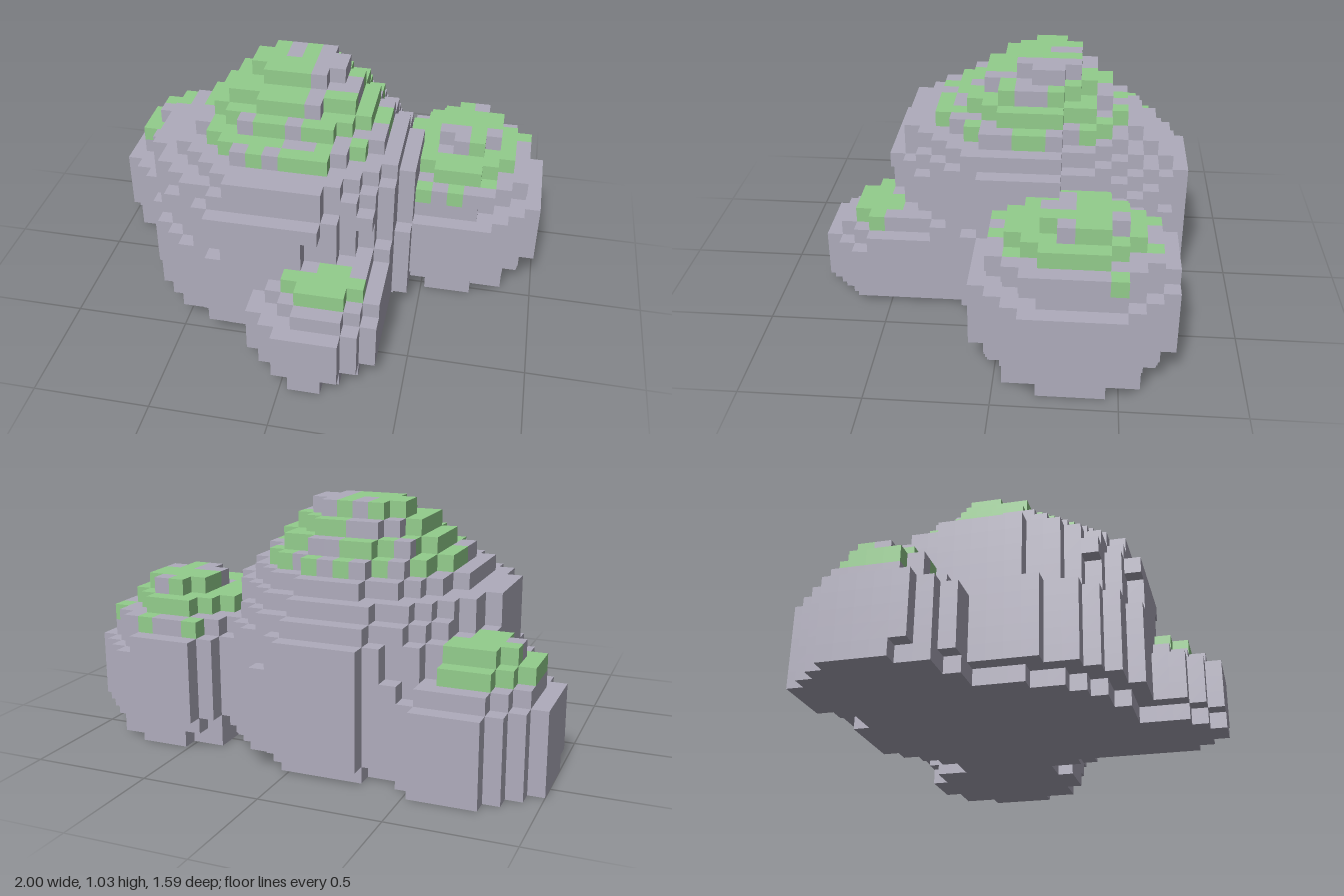
import * as THREE from 'three';
import { mergeGeometries } from 'three/addons/utils/BufferGeometryUtils.js';

const S = 2 / 29; // voxel size

const rockMat = new THREE.MeshStandardMaterial({ color: 0xafacbc });
rockMat.name = 'rock grey';
const mossMat = new THREE.MeshStandardMaterial({ color: 0x93cd8c });
mossMat.name = 'moss green';

// Each boulder is a stack of rounded layers, in voxels:
// [number of layers, x min, x max, z min, z max].
// back and front are the outline exponents of the two halves. The lowest layer
// and those from shoulder up to mossFrom are rounder. edgeMoss is the cover of
// the first mossy layer.
const mainBoulder = {
  name: 'mainBoulder', back: 2, front: 2.4, shoulder: 6, mossFrom: 11, edgeMoss: 0.62,
  layers: [
    [1, -9.5, 5.5, -10.5, 6.5], [7, -10.5, 6.5, -11.5, 7.5],
    [1, -10.5, 6.5, -10.5, 7.5], [1, -10.5, 6.5, -9.5, 6.5],
    [1, -8.5, 5.5, -8.5, 6.5], [1, -7.5, 4.5, -7.5, 4.5],
    [1, -6.5, 3.5, -6.5, 2.5], [1, -5.5, 2.5, -5.5, 1.5],
    [1, -4.5, 1.5, -4.5, -0.5],
  ],
};
const leftBoulder = {
  name: 'leftBoulder', back: 2.2, front: 2.2, shoulder: 6, mossFrom: 7, edgeMoss: 0.35,
  layers: [
    [2, 4.5, 13.5, -9.5, 0.5], [4, 3.5, 14.5, -10.5, 1.5], [1, 3.5, 13.5, -10.5, 0.5],
    [1, 4.5, 13.5, -9.5, 0.5], [1, 5.5, 12.5, -8.5, -0.5], [1, 7.5, 11.5, -7.5, -2.5],
  ],
};
const rightBoulder = {
  name: 'rightBoulder', back: 1.9, front: 2.3, shoulder: 6, mossFrom: 6, edgeMoss: 0.6,
  layers: [
    [5, -14.5, -4.5, -11.5, -1.5], [1, -13.5, -5.5, -10.5, -2.5],
    [1, -13.5, -6.5, -9.5, -3.5], [1, -12.5, -7.5, -8.5, -4.5],
  ],
};
const frontBoulder = {
  name: 'frontBoulder', back: 2.8, front: 2.2, shoulder: 4, mossFrom: 5, edgeMoss: 0.75,
  layers: [
    [1, -1.5, 4.5, 1.5, 11.5], [3, -2.5, 5.5, 1.5, 11.5],
    [1, -1.5, 5.5, 2.5, 10.5], [1, -0.5, 4.5, 3.5, 9.5],
  ],
};
const boulders = [mainBoulder, leftBoulder, rightBoulder, frontBoulder];

// Repeatable value from 0 to 1 for a voxel
function hash(x, y, z) {
  const n = Math.sin(x * 12.99 + y * 37.72 + z * 78.23) * 43758.55;
  return n - Math.floor(n);
}

// Share of a layer that is mossy
function mossCover(b, y) {
  if (y < b.mossFrom) return 0;
  return y === b.mossFrom ? b.edgeMoss : 0.7;
}

// One square face for each of the six directions
const faces = [
  [1, 0, 0], [-1, 0, 0], [0, 1, 0], [0, -1, 0], [0, 0, 1], [0, 0, -1],
].map((d) => {
  const geometry = new THREE.PlaneGeometry(S, S);
  const n = new THREE.Vector3(...d);
  geometry.applyQuaternion(
    new THREE.Quaternion().setFromUnitVectors(new THREE.Vector3(0, 0, 1), n));
  geometry.translate(n.x * S / 2, n.y * S / 2, n.z * S / 2);
  return { d, geometry };
});

export function createModel() {
  const group = new THREE.Group();
  group.name = 'mossyBoulders';

  // Fill the voxels of every boulder; shared voxels keep one owner
  const voxels = new Map();
  const key = (x, y, z) => `${x},${y},${z}`;
  for (const b of boulders) {
    let y = 0;
    for (const [count, x0, x1, z0, z1] of b.layers) {
      const cx = (x0 + x1) / 2, cz = (z0 + z1) / 2;
      const rx = (x1 - x0) / 2, rz = (z1 - z0) / 2;
      for (let i = 0; i < count; i++, y++) {
        const rounder = y === 0 || (y >= b.shoulder && y < b.mossFrom);
        const cover = mossCover(b, y);
        for (let x = Math.ceil(x0); x <= x1; x++) {
          for (let z = Math.ceil(z0); z <= z1; z++) {
            const p = (z > cz ? b.front : b.back) * (rounder ? 0.88 : 1);
            const r = Math.abs((x - cx) / rx) ** p + Math.abs((z - cz) / rz) ** p;
            if (r > 1 || voxels.has(key(x, y, z))) continue;
            const moss = hash(x, y, Math.floor(z / 2)) < cover;
            voxels.set(key(x, y, z), { x, y, z, b, moss });
          }
        }
      }
    }
  }

  // Collect exposed faces by boulder and colour
  for (const b of boulders) {
    const part = new THREE.Group();
    part.name = b.name;
    for (const moss of [false, true]) {
      const list = [];
      for (const v of voxels.values()) {
        if (v.b !== b || v.moss !== moss) continue;
        for (const { d, geometry } of faces) {
          if (voxels.has(key(v.x + d[0], v.y + d[1], v.z + d[2]))) continue;
          list.push(geometry.clone().translate(v.x * S, (v.y + 0.5) * S, v.z * S));
        }
      }
      if (!list.length) continue;
      const mesh = new THREE.Mesh(mergeGeometries(list), moss ? mossMat : rockMat);
      mesh.name = b.name + (moss ? 'Moss' : 'Rock');
      part.add(mesh);
    }
    group.add(part);
  }
  return group;
}
